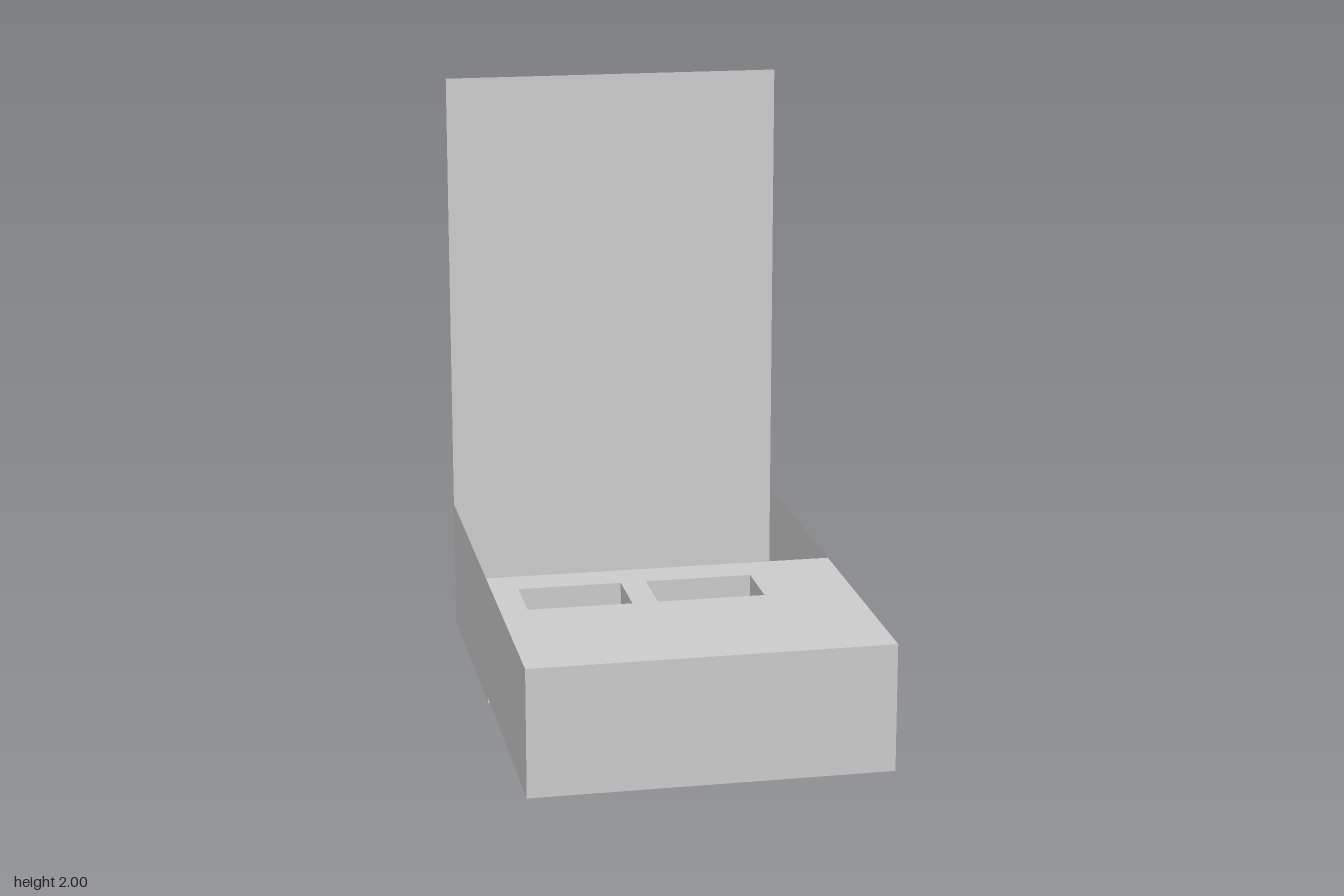
import * as THREE from 'three';

const material = new THREE.MeshStandardMaterial({ color: 0xcccccc, side: THREE.DoubleSide, flatShading: true });

// Main dimensions
const X = 0.59, BACK = -0.883, FRONT = 0.883, STEP = -0.012;
const DECK = 0.445, LIFT = 0.02, TOP = 2, POCKET = 0.09;

export function createModel() {
  const model = new THREE.Group();

  const add = (name, geometry, parent = model) => {
    const mesh = new THREE.Mesh(geometry, material);
    mesh.name = name;
    parent.add(mesh);
    return mesh;
  };
  // Upright sheet across x, at depth z
  const upright = (name, x0, x1, y0, y1, z, parent) =>
    add(name, new THREE.PlaneGeometry(x1 - x0, y1 - y0).translate((x0 + x1) / 2, (y0 + y1) / 2, z), parent);
  // Level sheet at height y
  const level = (name, x0, x1, z0, z1, y, parent) =>
    add(name, new THREE.PlaneGeometry(x1 - x0, z1 - z0).rotateX(-Math.PI / 2)
      .translate((x0 + x1) / 2, y, (z0 + z1) / 2), parent);
  // Upright sheet along z, at side position x
  const side = (name, z0, z1, y0, y1, x, parent) =>
    add(name, new THREE.PlaneGeometry(z1 - z0, y1 - y0).rotateY(Math.PI / 2)
      .translate(x, (y0 + y1) / 2, (z0 + z1) / 2), parent);

  // Tall back panel, front wall and the divider behind the deck
  upright('backPanel', -X, X, 0, TOP, BACK);
  upright('frontWall', -X, X, LIFT, DECK, FRONT);
  upright('divider', -X, X, 0, DECK, STEP);

  // Stepped floor
  level('trayFloor', -X, X, BACK, STEP, 0);
  level('frontFloor', -X, X, STEP, FRONT, LIFT);

  // Side walls with the step in their lower edge
  const profile = new THREE.Shape([
    [-BACK, 0], [-BACK, DECK], [-FRONT, DECK], [-FRONT, LIFT], [-STEP, LIFT], [-STEP, 0],
  ].map(([z, y]) => new THREE.Vector2(z, y)));
  for (const [name, s] of [['leftWall', 1], ['rightWall', -1]]) {
    add(name, new THREE.ShapeGeometry(profile).rotateY(Math.PI / 2).translate(s * X, 0, 0));
  }

  // Deck with two rectangular pockets
  const rect = (x0, x1, z0, z1) =>
    [[x0, -z1], [x1, -z1], [x1, -z0], [x0, -z0]].map(([x, y]) => new THREE.Vector2(x, y));
  const deck = new THREE.Shape(rect(-X, X, STEP, FRONT));
  const z0 = 0.12, z1 = 0.335, bottom = DECK - POCKET;
  for (const [name, x0, x1] of [['rightPocket', -0.5, -0.155], ['leftPocket', -0.07, 0.287]]) {
    deck.holes.push(new THREE.Path(rect(x0, x1, z0, z1).reverse()));
    const pocket = new THREE.Group();
    pocket.name = name;
    model.add(pocket);
    level('pocketFloor', x0, x1, z0, z1, bottom, pocket);
    for (const z of [z0, z1]) upright('pocketEnd', x0, x1, bottom, DECK, z, pocket);
    for (const x of [x0, x1]) side('pocketSide', z0, z1, bottom, DECK, x, pocket);
  }
  add('deck', new THREE.ShapeGeometry(deck).rotateX(-Math.PI / 2).translate(0, DECK, 0));

  return model;
}
